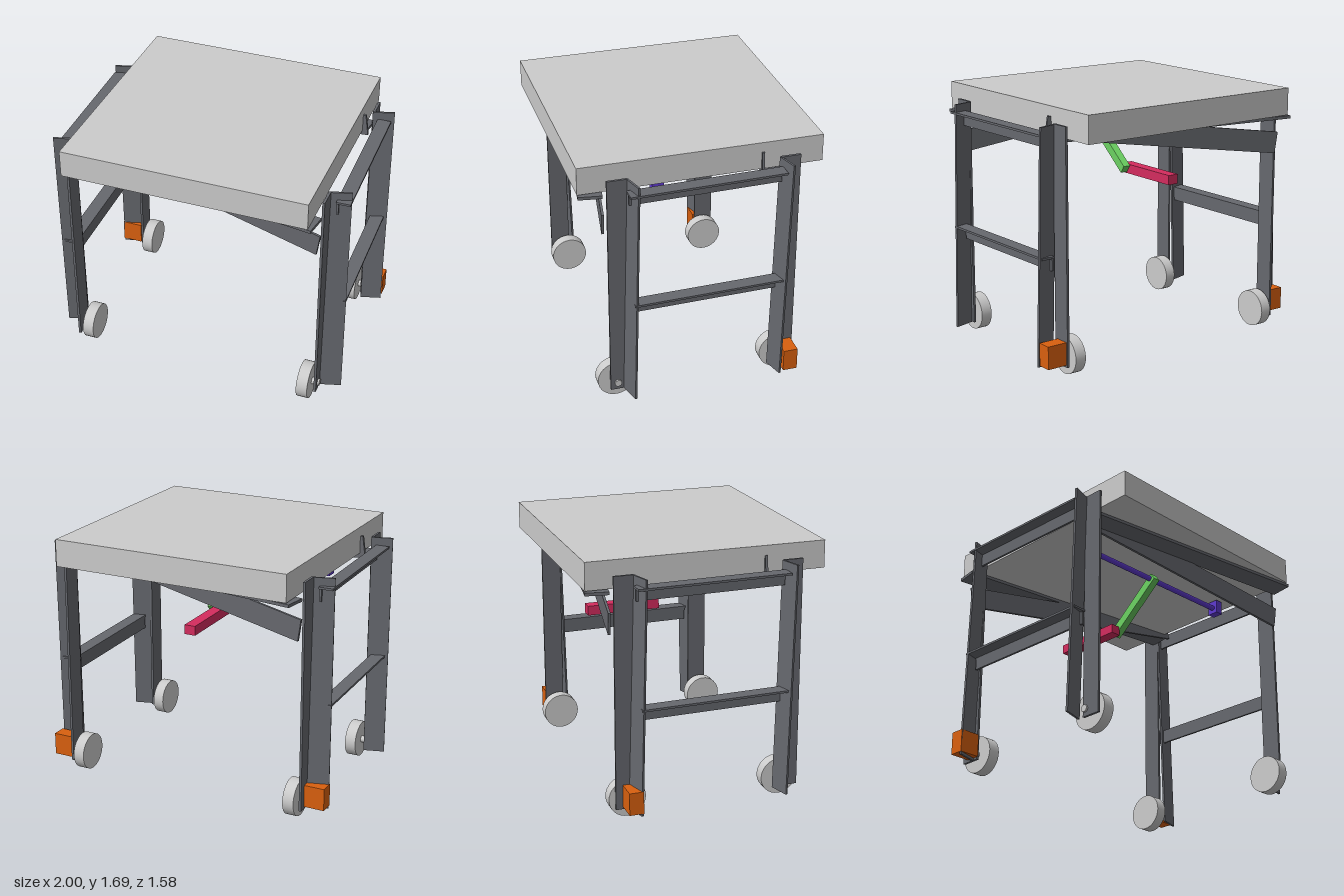
import * as THREE from 'three';

const paint = (color) => new THREE.MeshStandardMaterial({ color });
const GREY = paint(0xcccccc);
const STEEL = paint(0x66686e);
const ORANGE = paint(0xd9600f);
const PURPLE = paint(0x5f3ad0);
const GREEN = paint(0x6cd262);
const RED = paint(0xd42c5e);

// Box with size, centre and optional rotation (yaw is applied last)
function bar(parent, name, material, size, at, rot = [0, 0, 0]) {
  const mesh = new THREE.Mesh(new THREE.BoxGeometry(...size), material);
  mesh.name = name;
  mesh.position.set(...at);
  mesh.rotation.set(...rot, 'YXZ');
  parent.add(mesh);
  return mesh;
}

// Cylinder lying along x
function disc(parent, name, material, radius, length, at, sides = 32) {
  const geometry = new THREE.CylinderGeometry(radius, radius, length, sides).rotateZ(Math.PI / 2);
  const mesh = new THREE.Mesh(geometry, material);
  mesh.name = name;
  mesh.position.set(...at);
  parent.add(mesh);
  return mesh;
}

// One side: two angle-iron legs, two angle-iron rails and a sloping brace
function sideFrame(name) {
  const frame = new THREE.Group();
  frame.name = name;

  for (const s of [1, -1]) {
    const leg = new THREE.Group();
    leg.name = s > 0 ? 'legA' : 'legB';
    bar(leg, 'legWeb', STEEL, [0.016, 1.53, 0.13], [0.853, 0.835, s * 0.553]);
    const flange = bar(leg, 'legFlange', STEEL, [0.142, 1.53, 0.014],
      [0.922, 0.832, s > 0 ? 0.487 : -0.49], [-0.027, 0.28, 0.008]);
    flange.rotation.order = 'XYZ';
    frame.add(leg);
  }

  // Rails: hanging web on the inner edge, flat flange on top
  for (const [label, top, shift] of [['upperRail', 1.545, 0.005], ['lowerRail', 0.775, -0.015]]) {
    const rail = new THREE.Group();
    rail.name = label;
    rail.position.set(0.935, top, shift);
    rail.rotation.y = 0.02;
    bar(rail, 'railFlange', STEEL, [0.092, 0.014, 1.0], [0, -0.007, 0]);
    bar(rail, 'railWeb', STEEL, [0.014, 0.09, 0.98], [-0.039, -0.052, 0]);
    frame.add(rail);
  }

  // Brace: sloping web with a level flange below the top
  const yaw = -0.153;
  bar(frame, 'braceWeb', STEEL, [1.72, 0.145, 0.016], [0, 1.428, -0.512], [0, yaw, 0.151]);
  bar(frame, 'braceFlange', STEEL, [1.7, 0.02, 0.15], [0, 1.495, -0.585], [0, yaw, 0]);
  return frame;
}

export function createModel() {
  const model = new THREE.Group();
  model.name = 'rollingTable';

  bar(model, 'tableTop', GREY, [1.62, 0.18, 1.57], [0, 1.6, 0.003]);

  // The second side is the first turned half way round
  const left = sideFrame('leftFrame');
  const right = sideFrame('rightFrame');
  right.rotation.y = Math.PI;
  model.add(left, right);

  // Wheels with short axles into the legs
  for (const [side, z] of [[1, 0.57], [1, -0.53], [-1, 0.508], [-1, -0.53]]) {
    const wheel = new THREE.Group();
    wheel.name = 'wheel';
    disc(wheel, 'tyre', GREY, 0.123, 0.076, [side * 0.783, 0.123, z]);
    disc(wheel, 'axle', GREY, 0.023, 0.07, [side * 0.838, 0.12, z], 16);
    model.add(wheel);
  }

  // Motor blocks in the rear legs
  bar(model, 'leftMotor', ORANGE, [0.138, 0.15, 0.095], [0.929, 0.16, -0.56]);
  bar(model, 'rightMotor', ORANGE, [0.138, 0.15, 0.095], [-0.929, 0.16, -0.525]);

  // Cross rod with bearing blocks, crank arm and handle
  const rod = disc(model, 'crossRod', PURPLE, 0.018, 1.3, [0.015, 1.427, 0.25], 20);
  rod.rotation.z = 0.02;
  bar(model, 'leftBearing', PURPLE, [0.055, 0.095, 0.076], [0.663, 1.445, 0.249]);
  bar(model, 'rightBearing', PURPLE, [0.055, 0.095, 0.076], [-0.64, 1.425, 0.249]);
  bar(model, 'crankArm', GREEN, [0.05, 0.06, 0.5], [0.017, 1.288, 0.078], [-0.635, -0.06, 0]);
  bar(model, 'handle', RED, [0.075, 0.063, 0.49], [-0.032, 1.139, -0.305]);

  return model;
}
